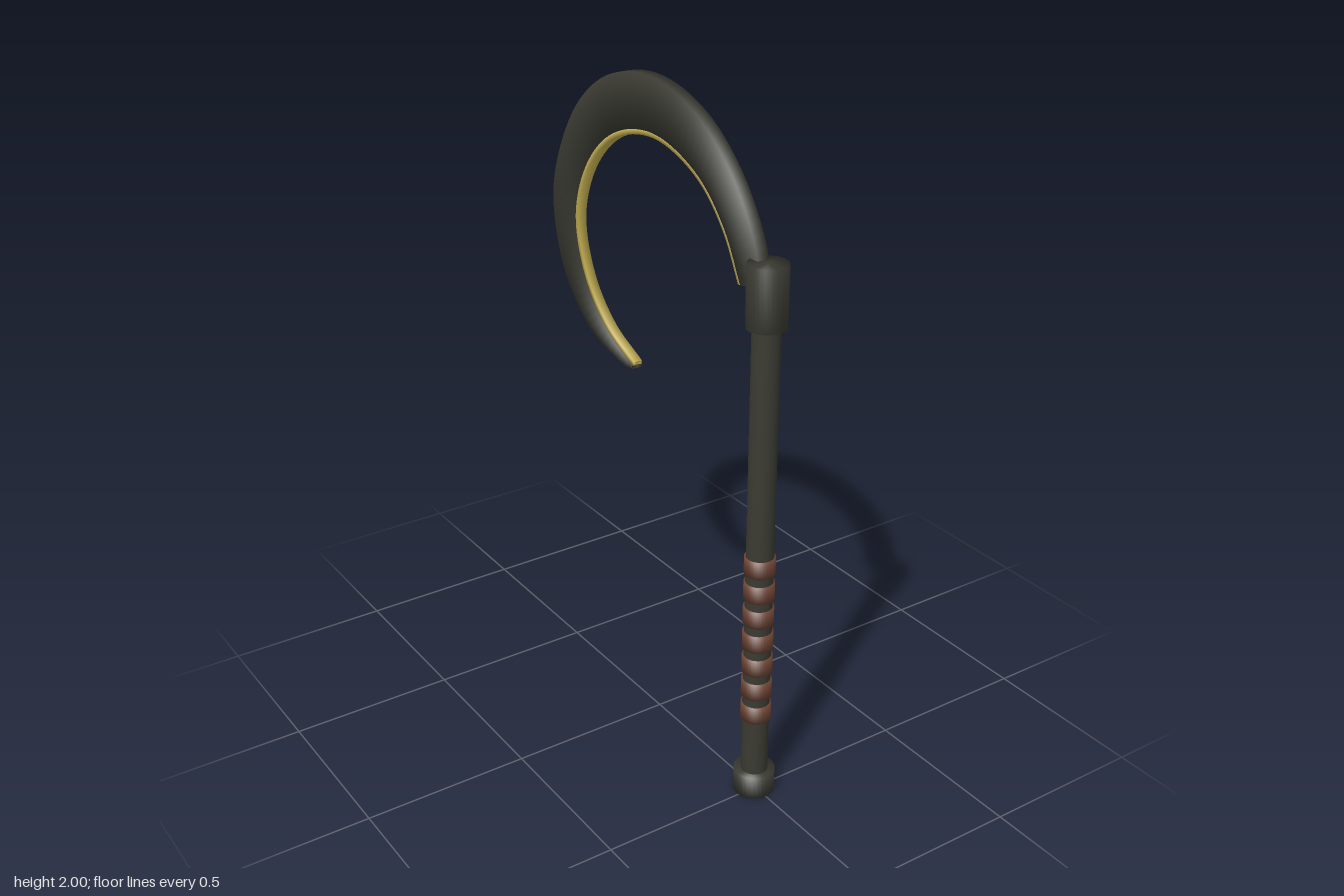
import * as THREE from 'three';

const SHAFT_Z = 0.492;

// Round solid whose shading rolls softly over its rims
function roundBar(name, radius, y0, y1, material) {
  const profile = [[0, y0], [radius, y0], [radius, y1], [0, y1]].map(([x, y]) => new THREE.Vector2(x, y));
  const mesh = new THREE.Mesh(new THREE.LatheGeometry(profile, 32), material);
  mesh.name = name;
  mesh.position.z = SHAFT_Z;
  return mesh;
}

// Curve in the side plane, given as [z, y] points
const sideCurve = (points) =>
  new THREE.CatmullRomCurve3(points.map(([z, y]) => new THREE.Vector3(0, y, z)), false, 'centripetal');

// Four-cornered bar between an outer and an inner rail, softly shaded over its corners
function sweepBar(outer, inner, half) {
  const positions = [], normals = [], index = [];
  outer.forEach((o, i) => {
    const across = o.clone().sub(inner[i]).normalize();
    [[o, 1, 1], [o, -1, 1], [inner[i], -1, -1], [inner[i], 1, -1]].forEach(([p, sx, sr]) => {
      positions.push(sx * half, p.y, p.z);
      const n = across.clone().multiplyScalar(sr).add(new THREE.Vector3(sx, 0, 0)).normalize();
      normals.push(n.x, n.y, n.z);
    });
    if (i === 0) return;
    const a = (i - 1) * 4, b = i * 4;
    for (let k = 0; k < 4; k++) {
      const m = (k + 1) % 4;
      index.push(a + k, b + k, a + m, b + k, b + m, a + m);
    }
  });
  // End caps
  const e = (outer.length - 1) * 4;
  index.push(0, 1, 2, 0, 2, 3, e, e + 2, e + 1, e, e + 3, e + 2);
  const geometry = new THREE.BufferGeometry();
  geometry.setAttribute('position', new THREE.Float32BufferAttribute(positions, 3));
  geometry.setAttribute('normal', new THREE.Float32BufferAttribute(normals, 3));
  geometry.setIndex(index);
  return geometry;
}

export function createModel() {
  const group = new THREE.Group();
  group.name = 'hookedSickle';
  const material = (name, color) => {
    const m = new THREE.MeshStandardMaterial({ color });
    m.name = name;
    return m;
  };
  const darkMetal = material('darkMetal', 0x3b3b33);
  const leather = material('leather', 0x6e4433);
  const gold = material('gold', 0xc6b152);

  // Handle
  group.add(
    roundBar('pommel', 0.06, 0, 0.07, darkMetal),
    roundBar('shaft', 0.039, 0.03, 1.5, darkMetal),
    roundBar('collar', 0.056, 1.455, 1.63, darkMetal),
  );

  // Leather grip bands
  for (let i = 0; i < 7; i++) {
    const y = 0.275 + i * 0.0795;
    group.add(roundBar('gripBand', 0.044, y - 0.026, y + 0.026, leather));
  }

  // Outer and inner rails of the hooked blade
  const outerCurve = sideCurve([
    [0.485, 1.56], [0.458, 1.669], [0.352, 1.828], [0.193, 1.948], [-0.019, 2.0], [-0.23, 1.96],
    [-0.4, 1.838], [-0.517, 1.645], [-0.545, 1.51], [-0.495, 1.318], [-0.358, 1.172], [-0.155, 1.112], [-0.12, 1.115],
  ]);
  const innerCurve = sideCurve([
    [0.384, 1.54], [0.31, 1.669], [0.193, 1.775], [-0.008, 1.833], [-0.215, 1.78],
    [-0.352, 1.653], [-0.41, 1.49], [-0.363, 1.325], [-0.257, 1.208], [-0.114, 1.137],
  ]);
  const outer = outerCurve.getSpacedPoints(64);
  const inner = innerCurve.getSpacedPoints(64);

  // The cutting edge takes a narrow strip along the inner rail
  const seam = inner.map((p, i) => {
    const across = outer[i].clone().sub(p);
    return p.clone().addScaledVector(across, Math.min(0.5, 0.015 / across.length()));
  });
  const blade = new THREE.Mesh(sweepBar(outer, seam, 0.018), darkMetal);
  blade.name = 'blade';
  const edge = new THREE.Mesh(sweepBar(seam, inner, 0.014), gold);
  edge.name = 'cuttingEdge';
  group.add(blade, edge);
  return group;
}
